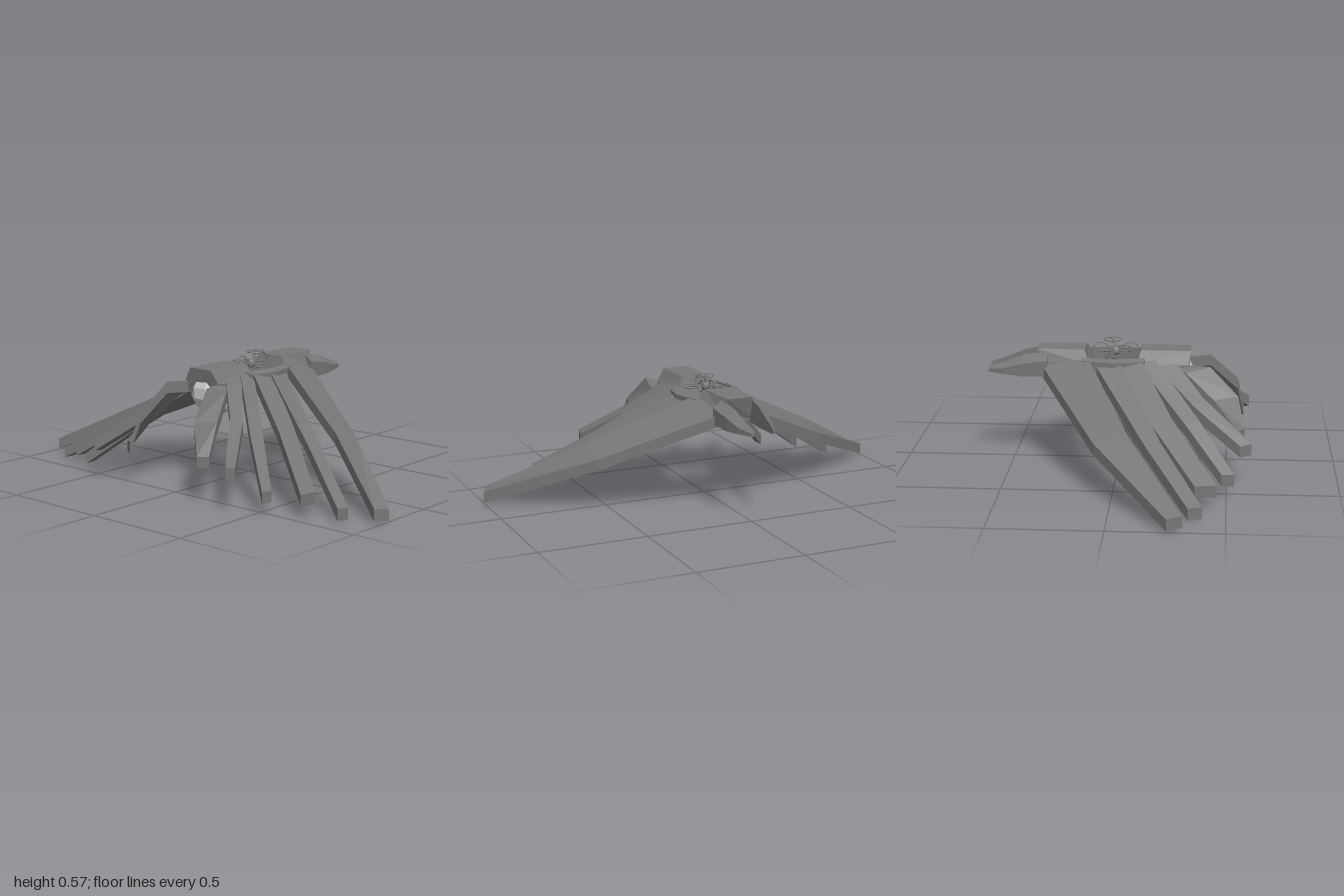
import * as THREE from 'three';

const dark = new THREE.MeshStandardMaterial({ color: 0x777777, flatShading: true });
const light = new THREE.MeshStandardMaterial({ color: 0xcccccc, flatShading: true });

// Closed solid skinned over equal-sized rings of points; side = -1 mirrors it in x
function loft(sections, side = 1) {
  const rings = sections.map(s => s.map(([x, y, z]) => new THREE.Vector3(x * side, y, z)));
  const n = rings[0].length, tris = [];
  for (let i = 0; i < rings.length - 1; i++) {
    for (let j = 0; j < n; j++) {
      const k = (j + 1) % n, a = rings[i], b = rings[i + 1];
      tris.push([a[j], a[k], b[k]], [a[j], b[k], b[j]]);
    }
  }
  const end = rings[rings.length - 1];
  for (let j = 1; j < n - 1; j++) {
    tris.push([rings[0][0], rings[0][j + 1], rings[0][j]], [end[0], end[j], end[j + 1]]);
  }
  // Turn the faces outward if the enclosed volume is negative
  const o = rings[0][0], v = new THREE.Vector3(), w = new THREE.Vector3(), u = new THREE.Vector3();
  let volume = 0;
  for (const [a, b, c] of tris) {
    volume += u.subVectors(a, o).dot(v.subVectors(b, o).cross(w.subVectors(c, o)));
  }
  const points = tris.flatMap(t => (volume < 0 ? [t[0], t[2], t[1]] : t));
  const g = new THREE.BufferGeometry().setFromPoints(points);
  g.computeVertexNormals();
  return g;
}

function add(parent, name, geometry, material = dark) {
  const m = new THREE.Mesh(geometry, material);
  m.name = name;
  parent.add(m);
  return m;
}

// Flat slat: each station gives its rear and front upper edge points
const slat = (stations, thick, side) => loft(stations.map(([r, f]) => [
  r, f, [f[0], f[1] - thick, f[2]], [r[0], r[1] - thick, r[2]],
]), side);

// Faceted arch across the body at depth z; the centre can be pushed along z
const arch = (z, top, wide, zEdge = z) => [
  [-wide, 0.43, zEdge], [-wide, 0.485, zEdge], [-top, 0.545, z], [top, 0.545, z],
  [wide, 0.485, zEdge], [wide, 0.43, zEdge], [top, 0.47, z], [-top, 0.47, z],
];

// Wing feathers from rear to front: root, bend, tip; [rear edge, front edge]
const feathers = [
  [[[0.08, 0.475, -0.36], [0.11, 0.515, -0.14]], [[0.57, 0.25, -0.08], [0.57, 0.29, 0.07]], [[1, 0.065, 0.255], [0.97, 0.072, 0.32]]],
  [[[0.11, 0.505, -0.12], [0.12, 0.515, 0]], [[0.55, 0.235, 0.145], [0.53, 0.25, 0.21]], [[0.85, 0.06, 0.34], [0.84, 0.065, 0.4]]],
  [[[0.12, 0.505, -0.02], [0.11, 0.515, 0.1]], [[0.41, 0.3, 0.16], [0.4, 0.31, 0.26]], [[0.69, 0.105, 0.365], [0.69, 0.11, 0.46]]],
  [[[0.1, 0.5, 0.08], [0.1, 0.505, 0.17]], [[0.36, 0.28, 0.315], [0.33, 0.3, 0.37]], [[0.545, 0.11, 0.48], [0.54, 0.11, 0.535]]],
  [[[0.09, 0.5, 0.15], [0.09, 0.5, 0.26]], [[0.27, 0.34, 0.35], [0.23, 0.37, 0.39]], [[0.41, 0.2, 0.56], [0.4, 0.21, 0.61]]],
  [[[0.08, 0.48, 0.25], [0.08, 0.48, 0.33]], [[0.14, 0.46, 0.31], [0.12, 0.485, 0.42]],
    [[0.2, 0.35, 0.44], [0.165, 0.36, 0.55]], [[0.25, 0.22, 0.55], [0.205, 0.22, 0.58]]],
];

export function createModel() {
  const model = new THREE.Group();

  // Two arched body blocks with an open well between them
  add(model, 'frontBody', loft([arch(0.1, 0.062, 0.11, 0.08), arch(0.33, 0.062, 0.1, 0.32)]));
  add(model, 'rearBody', loft([arch(-0.16, 0.07, 0.12, -0.13), arch(-0.38, 0.06, 0.085, -0.35)]));

  for (const side of [1, -1]) {
    const half = new THREE.Group();
    half.name = side > 0 ? 'leftWing' : 'rightWing';
    model.add(half);

    // Rail alongside the well
    const rail = [[-0.17, 0.085], [-0.11, 0.108], [-0.02, 0.125], [0.06, 0.108], [0.12, 0.085]];
    add(half, 'wellRail', loft(rail.map(([z, x]) => [
      [x, 0.515, z], [x + 0.035, 0.505, z], [x + 0.035, 0.43, z], [x, 0.43, z],
    ]), side));

    feathers.forEach((f, i) => add(half, `feather${i + 1}`, slat(f, 0.052, side)));

    // Tail spike
    const tail = [[-0.33, 0.065, 0.11, 0.425, 0.535], [-0.45, 0.058, 0.1, 0.42, 0.512],
      [-0.53, 0.052, 0.085, 0.425, 0.48], [-0.61, 0.045, 0.058, 0.43, 0.453]];
    add(half, 'tailSpike', loft(tail.map(([z, a, b, low, high]) => [
      [a, high, z], [b, high - 0.035 * (b - a) / 0.045, z], [b, low, z], [a, low, z],
    ]), side));
  }

  // Round faceted head under the front block
  add(model, 'head', new THREE.SphereGeometry(0.112, 10, 7), light).position.set(0, 0.432, 0.232);

  // Small ringed rotor cluster in the well
  const cluster = new THREE.Group();
  cluster.name = 'rotorCluster';
  cluster.position.set(0, 0.525, -0.02);
  model.add(cluster);
  add(cluster, 'hub', new THREE.SphereGeometry(0.022, 10, 8));
  const rotors = [ // centre, ring axis
    [[-0.07, 0, -0.01], [0, 1, 0]], [[0.066, 0, 0.026], [0, 1, 0]],
    [[0, 0, 0.07], [1, 0, 0]], [[0, 0, -0.07], [1, 0, 0]], [[0.012, 0.053, -0.015], [0, 1, 0]],
  ];
  for (const [centre, axis] of rotors) {
    const p = new THREE.Vector3(...centre);
    const rotor = new THREE.Group();
    rotor.name = 'rotor';
    rotor.position.copy(p);
    rotor.quaternion.setFromUnitVectors(new THREE.Vector3(0, 0, 1), new THREE.Vector3(...axis));
    add(rotor, 'ring', new THREE.TorusGeometry(0.041, 0.0025, 5, 24));
    add(rotor, 'blade', new THREE.BoxGeometry(0.074, 0.008, 0.003)).rotation.z = 0.5;
    cluster.add(rotor);
    add(cluster, 'arm', new THREE.TubeGeometry(new THREE.LineCurve3(new THREE.Vector3(), p), 1, 0.004, 6));
  }
  return model;
}
